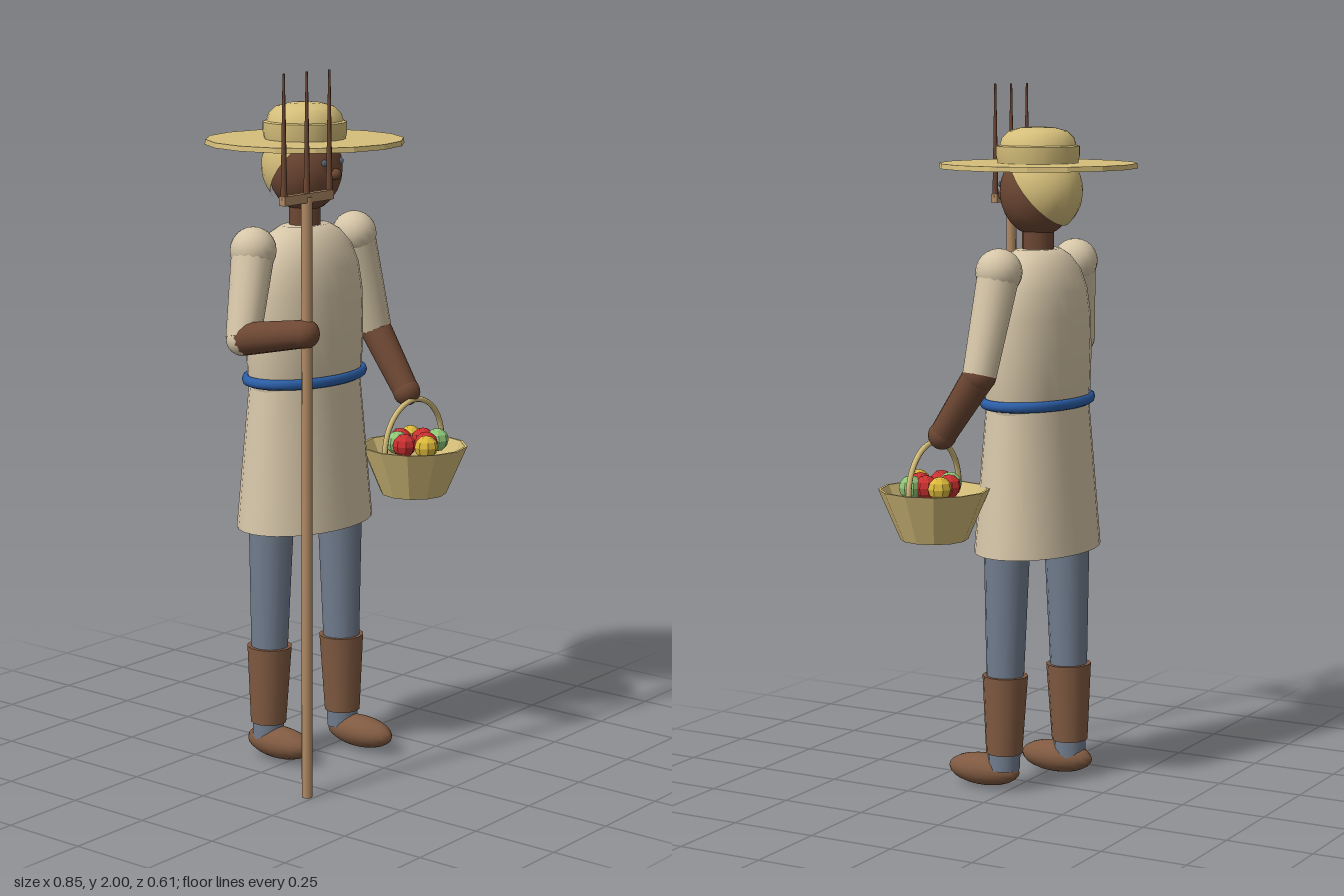
import * as THREE from 'three';
import { toCreasedNormals } from 'three/addons/utils/BufferGeometryUtils.js';

const V = (x, y, z) => new THREE.Vector3(x, y, z);
const mat = (name, color) => {
  const m = new THREE.MeshStandardMaterial({ color });
  m.name = name;
  return m;
};

export function createModel() {
  const straw = mat('straw', 0xd6bf7b);
  const skin = mat('skin', 0x6d4733);
  const shirt = mat('linen', 0xd6c6a8);
  const blue = mat('beltBlue', 0x2c5fa8);
  const denim = mat('trouserGrey', 0x717d8e);
  const leather = mat('leather', 0x805a41);
  const wood = mat('wood', 0xb08a64);
  const red = mat('redFruit', 0xcc3030);
  const yellow = mat('yellowFruit', 0xdcb93a);
  const green = mat('greenFruit', 0x90c678);

  const model = new THREE.Group();
  model.name = 'farmer';
  const CX = -0.013, CZ = -0.03; // body axis

  const add = (name, geo, material, pos = V(0, 0, 0), parent = model) => {
    const m = new THREE.Mesh(geo, material);
    m.name = name;
    m.position.copy(pos);
    parent.add(m);
    return m;
  };
  const ball = (name, material, pos, rx, ry = rx, rz = rx) =>
    add(name, new THREE.SphereGeometry(1, 18, 12).scale(rx, ry, rz), material, pos);
  // tapered tube from a to b
  const limb = (name, material, a, b, ra, rb, sides = 14) => {
    const d = b.clone().sub(a);
    const m = add(name, new THREE.CylinderGeometry(rb, ra, d.length(), sides), material,
      a.clone().add(b).multiplyScalar(0.5));
    m.quaternion.setFromUnitVectors(V(0, 1, 0), d.normalize());
    return m;
  };
  // turned profile, flattened front to back
  const turned = (name, material, pts, sides, depth, crease, x = CX, z = CZ) =>
    add(name, toCreasedNormals(
      new THREE.LatheGeometry(pts.map(p => new THREE.Vector2(...p)), sides).scale(1, 1, depth), crease),
    material, V(x, 0, z));

  // Torso, skirt and belt
  turned('tunicTop', shirt, [[0, 1.08], [0.19, 1.08], [0.203, 1.14], [0.207, 1.25], [0.203, 1.36],
    [0.19, 1.43], [0.165, 1.485], [0.125, 1.525], [0.085, 1.545], [0, 1.545]], 28, 0.64, 0.7);
  turned('tunicSkirt', shirt, [[0, 0.693], [0.236, 0.693], [0.19, 1.12], [0, 1.12]], 28, 0.68, 0.7);
  add('belt', new THREE.TorusGeometry(0.205, 0.015, 8, 36).rotateX(Math.PI / 2).scale(1, 1, 0.65),
    blue, V(CX, 1.118, CZ));

  // Neck, head, hair and face
  limb('neck', skin, V(CX, 1.5, CZ), V(CX, 1.63, CZ), 0.045, 0.045);
  ball('head', skin, V(CX, 1.705, CZ), 0.1, 0.125, 0.11);
  const hair = new THREE.SphereGeometry(1, 22, 10, 0, Math.PI * 2, 0, Math.PI * 0.5)
    .rotateX(-0.88).scale(0.107, 0.125, 0.122);
  add('hair', hair, straw, V(CX, 1.708, CZ - 0.008));
  ball('nose', skin, V(CX, 1.692, 0.08), 0.016);
  for (const s of [-1, 1]) ball('eye', denim, V(CX + s * 0.037, 1.725, 0.069), 0.011, 0.009, 0.005);

  // Straw hat
  add('hatBrim', toCreasedNormals(new THREE.CylinderGeometry(0.278, 0.28, 0.014, 16), 0.3),
    straw, V(CX, 1.778, CZ));
  turned('hatCrown', straw, [[0.113, 1.78], [0.118, 1.805], [0.118, 1.832], [0.108, 1.835],
    [0.102, 1.855], [0.082, 1.874], [0.045, 1.884], [0, 1.886]], 20, 1, 0.6);

  // Legs, boots and feet, one step apart
  for (const [side, s, hipZ, ankleZ, footZ] of [['right', -1, -0.065, -0.075, -0.032], ['left', 1, 0.01, 0.018, 0.083]]) {
    const hip = V(CX + s * 0.107, 0.78, hipZ), ankle = V(CX + s * 0.114, 0.06, ankleZ);
    const at = y => ankle.clone().lerp(hip, (y - 0.06) / 0.72);
    limb(side + 'TrouserLeg', denim, ankle, hip, 0.045, 0.068);
    limb(side + 'Boot', leather, at(0.108), at(0.335), 0.052, 0.065);
    ball(side + 'Foot', leather, V(CX + s * 0.114, 0.052, footZ), 0.051, 0.046, 0.113);
  }

  // Arms: shoulder, elbow, hand
  const arms = {
    right: [V(-0.238, 1.495, CZ), V(-0.318, 1.262, 0), V(-0.326, 1.302, 0.225)],
    left: [V(0.211, 1.495, CZ), V(0.282, 1.215, -0.008), V(0.27, 1.04, 0.118)],
  };
  for (const [side, [shoulder, elbow, hand]] of Object.entries(arms)) {
    ball(side + 'Shoulder', shirt, shoulder, 0.065);
    limb(side + 'Sleeve', shirt, shoulder, elbow, 0.06, 0.048);
    ball(side + 'Elbow', side === 'right' ? shirt : skin, elbow, 0.047);
    limb(side + 'Forearm', skin, elbow, hand, 0.046, 0.038);
    ball(side + 'Hand', skin, hand, 0.04);
  }

  // Pitchfork
  const FX = -0.325, FZ = 0.23;
  limb('forkHandle', wood, V(FX, 0, FZ), V(FX, 1.67, FZ), 0.015, 0.015, 10);
  add('forkCrossbar', new THREE.BoxGeometry(0.206, 0.025, 0.02), wood, V(FX, 1.668, FZ));
  for (const dx of [-0.095, 0, 0.095])
    limb('forkTine', skin, V(FX + dx, 1.67, FZ), V(FX + dx, 2, FZ), 0.009, 0.003, 8);

  // Basket with handle
  const BX = 0.269, BZ = 0.146;
  turned('basket', straw, [[0, 0.745], [0.095, 0.745], [0.156, 0.887], [0.148, 0.887],
    [0.088, 0.757], [0, 0.757]], 12, 1, 0.2, BX, BZ);
  add('basketHandle', new THREE.TorusGeometry(0.137, 0.008, 8, 24, Math.PI), straw, V(BX, 0.883, BZ));

  // Faceted fruit
  const fruit = [[0.227, 0.222, yellow], [0.27, 0.19, red], [0.33, 0.185, green], [0.205, 0.16, red],
    [0.315, 0.1, yellow], [0.225, 0.12, green], [0.31, 0.148, red], [0.265, 0.1, red]];
  for (const [x, z, m] of fruit)
    add('fruit', toCreasedNormals(new THREE.SphereGeometry(0.034, 8, 6), 0.2), m, V(x, 0.897, z));

  return model;
}
